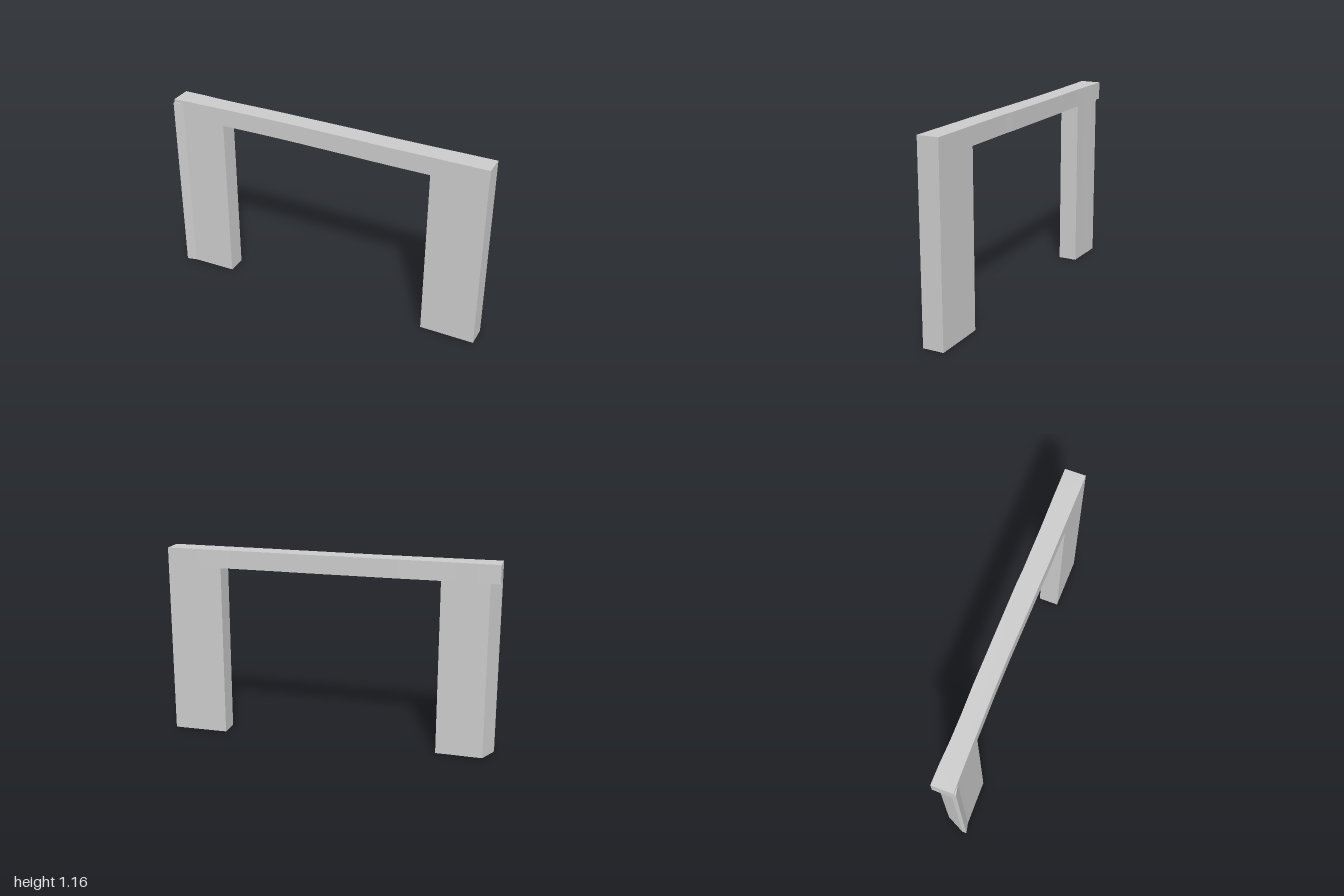
import * as THREE from 'three';

// Gently uneven wall faces in plan, as [x, z]
const FRONT = [[-1, 0.06], [-0.9, 0.056], [-0.7, 0.052], [-0.4, 0.047], [-0.2, 0.047], [0.2, 0.053], [0.4, 0.057], [1, 0.058]];
const BACK = [[-1, -0.07], [-0.87, -0.07], [-0.75, -0.066], [-0.6, -0.066], [-0.42, -0.07], [0.22, -0.069], [0.3, -0.066], [0.6, -0.066], [0.8, -0.069], [1, -0.07]];

const TOP = 1.16, UNDERSIDE = 1.05, OPENING = 0.665;

// Depth of a wall face at x
function depthAt(line, x) {
  const i = Math.max(1, line.findIndex((p) => p[0] >= x));
  const [a, b] = [line[i - 1], line[i]];
  return THREE.MathUtils.lerp(a[1], b[1], (x - a[0]) / (b[0] - a[0]));
}

// Part of a wall face between two x positions
function span(line, x0, x1) {
  const inner = line.filter((p) => p[0] > x0 && p[0] < x1);
  return [[x0, depthAt(line, x0)], ...inner, [x1, depthAt(line, x1)]];
}

// Upright prism over a plan outline
function prism(name, outline, y0, y1) {
  const shape = new THREE.Shape(outline.map(([x, z]) => new THREE.Vector2(x, -z)));
  const geometry = new THREE.ExtrudeGeometry(shape, { depth: y1 - y0, bevelEnabled: false });
  geometry.rotateX(-Math.PI / 2).translate(0, y0, 0);
  const material = new THREE.MeshStandardMaterial({ color: 0xcccccc, flatShading: true });
  const mesh = new THREE.Mesh(geometry, material);
  mesh.name = name;
  return mesh;
}

export function createModel() {
  const group = new THREE.Group();
  group.name = 'wallFrame';

  // Lintel along the full width
  group.add(prism('lintel', [...span(FRONT, -1, 1), ...span(BACK, -1, 1).reverse()], UNDERSIDE, TOP));

  // Square-ended pier
  group.add(prism('leftPier', [...span(FRONT, OPENING, 1), ...span(BACK, OPENING, 1).reverse()], 0, UNDERSIDE));

  // Pier with a slanted outer end set back under the lintel
  group.add(prism('rightPier', [
    [-1, 0.045],
    ...span(FRONT, -1, -OPENING),
    ...span(BACK, -0.945, -OPENING).reverse(),
  ], 0, UNDERSIDE));

  // Thin flare on the front corner of the slanted pier
  group.add(prism('cornerFlare', [[-1, 0.045], [-1, 0.072], [-0.94, depthAt(FRONT, -0.94)]], 0, 1.14));

  return group;
}
